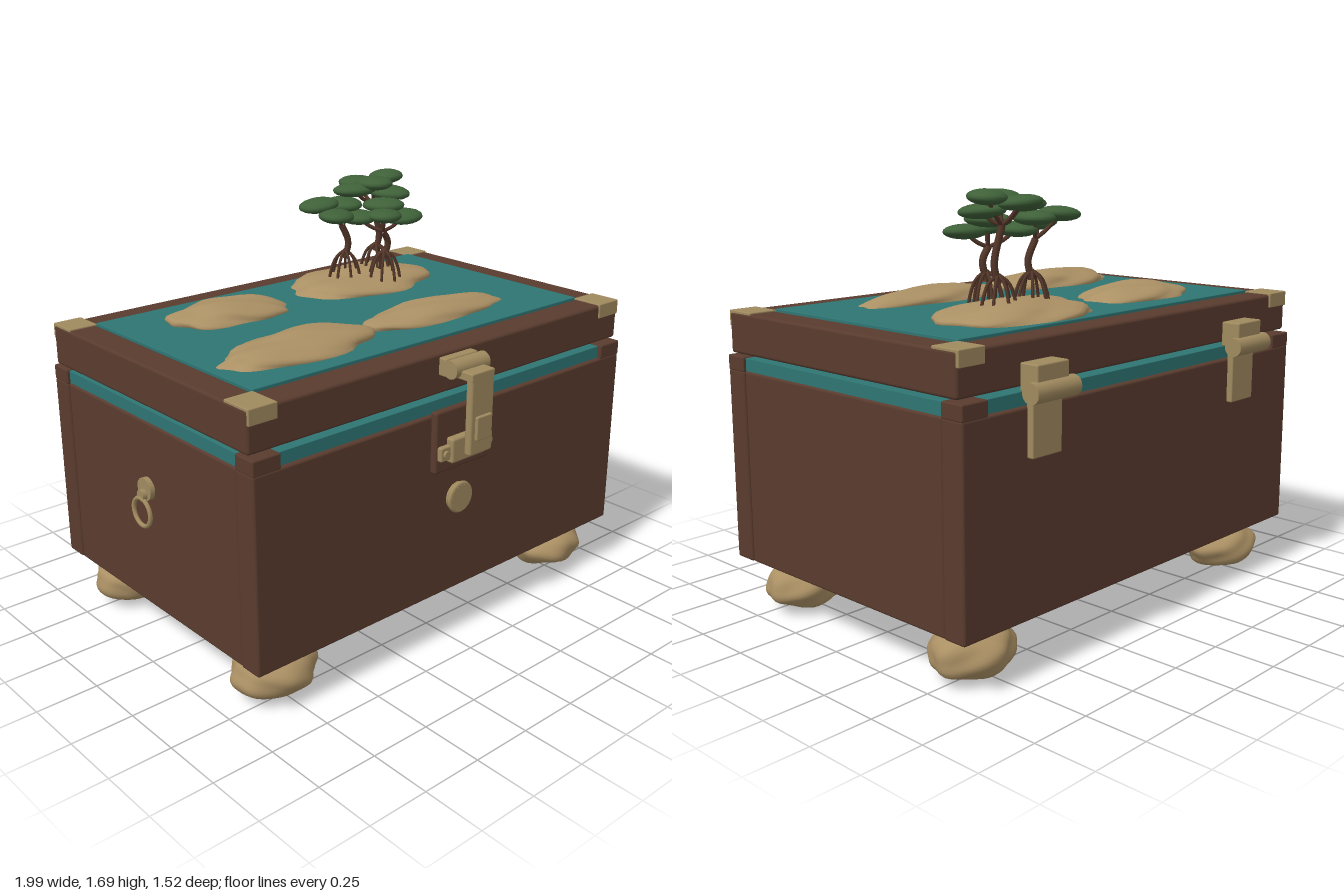
import * as THREE from 'three';
import { mergeVertices } from 'three/addons/utils/BufferGeometryUtils.js';
import { RoundedBoxGeometry } from 'three/addons/geometries/RoundedBoxGeometry.js';

const paint = (name, color) => {
  const m = new THREE.MeshStandardMaterial({ color });
  m.name = name;
  return m;
};

export function createModel() {
  const wood = paint('brown wood', 0x593b2e);
  const brass = paint('aged brass', 0xa08a5f);
  const teal = paint('teal water', 0x2e7573);
  const sand = paint('sandy rock', 0xab9064);
  const leaf = paint('mangrove green', 0x3f6139);
  const bark = paint('bark brown', 0x533629);

  const model = new THREE.Group();
  model.name = 'islandChest';
  const group = (name) => {
    const g = new THREE.Group();
    g.name = name;
    model.add(g);
    return g;
  };
  const add = (parent, name, geo, mat, x = 0, y = 0, z = 0) => {
    const m = new THREE.Mesh(geo, mat);
    m.name = name;
    m.position.set(x, y, z);
    parent.add(m);
    return m;
  };
  // Box given by its limits on each axis, with softly rounded edges
  const box = (parent, name, mat, [x0, x1], [y0, y1], [z0, z1], r = 0.006) => {
    const w = x1 - x0, h = y1 - y0, d = z1 - z0;
    const geo = new RoundedBoxGeometry(w, h, d, 2, Math.min(r, w / 3, h / 3, d / 3));
    return add(parent, name, geo, mat, (x0 + x1) / 2, (y0 + y1) / 2, (z0 + z1) / 2);
  };
  // Cylinder along x
  const barrel = (parent, name, r, len, x, y, z) => {
    const geo = new THREE.CylinderGeometry(r, r, len, 20).rotateZ(Math.PI / 2);
    return add(parent, name, geo, brass, x, y, z);
  };
  // Lumpy ellipsoid
  const rock = (parent, name, [x, y, z], [rx, ry, rz], seed, rough = 0.06) => {
    let geo = new THREE.IcosahedronGeometry(1, 7);
    geo.deleteAttribute('normal');
    geo.deleteAttribute('uv');
    geo = mergeVertices(geo, 1e-4);
    const p = geo.attributes.position, v = new THREE.Vector3();
    for (let i = 0; i < p.count; i++) {
      v.fromBufferAttribute(p, i);
      const n = Math.sin(v.x * 4.1 + seed) * Math.cos(v.z * 4.7 + seed * 2.3)
        + 0.7 * Math.sin(v.y * 6.3 + v.x * 5.2 + seed * 1.7)
        + 0.5 * Math.sin(v.z * 9.1 - v.x * 7.3 + seed * 3.1);
      v.multiplyScalar(1 + rough * (n - 0.4));
      p.setXYZ(i, v.x * rx, v.y * ry, v.z * rz);
    }
    geo.computeVertexNormals();
    return add(parent, name, geo, sand, x, y, z);
  };

  const L = -0.96, R = 0.99, MID = 0.015;

  // Chest body: front and back boards with inset core between
  const body = group('body');
  box(body, 'core', wood, [-0.88, 0.91], [0.19, 0.985], [-0.575, 0.53]);
  box(body, 'frontBoard', wood, [L, R], [0.22, 0.99], [0.53, 0.63], 0.01);
  box(body, 'backBoard', wood, [L, R], [0.22, 0.99], [-0.675, -0.575], 0.01);
  for (const [x0, x1] of [[L + 0.004, -0.86], [0.89, R - 0.004]])
    box(body, 'sideBoard', wood, [x0, x1], [0.22, 0.99], [-0.575, 0.53], 0.01);
  box(body, 'rimLining', teal, [L + 0.012, R - 0.012], [0.95, 1.04], [-0.655, 0.612], 0.002);
  for (const [x0, x1] of [[L, -0.84], [0.87, R]])
    for (const [z0, z1] of [[0.53, 0.63], [-0.675, -0.575]])
      box(body, 'rimCorner', wood, [x0, x1], [0.985, 1.045], [z0, z1]);

  // Lid: frame rails, water panel and corner caps
  const lid = group('lid');
  box(lid, 'frontRail', wood, [L, R], [1.055, 1.215], [0.475, 0.605], 0.012);
  box(lid, 'backRail', wood, [L, R], [1.055, 1.215], [-0.65, -0.53], 0.012);
  for (const [x0, x1] of [[L, -0.835], [0.865, R]])
    box(lid, 'sideRail', wood, [x0, x1], [1.055, 1.215], [-0.645, 0.6], 0.012);
  box(lid, 'underside', wood, [-0.84, 0.87], [1.06, 1.19], [-0.54, 0.48]);
  box(lid, 'waterPanel', teal, [-0.838, 0.868], [1.185, 1.225], [-0.533, 0.478], 0.003);
  for (const [x0, x1] of [[L + 0.003, -0.835], [0.865, R - 0.003]])
    for (const [z0, z1] of [[0.475, 0.611], [-0.658, -0.53]])
      box(lid, 'cornerCap', brass, [x0, x1], [1.16, 1.221], [z0, z1], 0.004);

  // Front latch
  const latch = group('latch');
  box(latch, 'backPlate', wood, [-0.135, 0.162], [0.76, 1.01], [0.625, 0.658], 0.015);
  box(latch, 'lidPlate', brass, [-0.075, 0.095], [1.13, 1.2], [0.595, 0.64]);
  barrel(latch, 'pivot', 0.036, 0.18, MID, 1.165, 0.66);
  box(latch, 'pivotArm', brass, [-0.05, 0.072], [1.13, 1.165], [0.66, 0.75]);
  box(latch, 'strap', brass, [-0.05, 0.072], [0.84, 1.165], [0.718, 0.75], 0.01);
  box(latch, 'strapButton', brass, [-0.027, 0.055], [0.9, 0.995], [0.745, 0.762]);
  box(latch, 'catch', brass, [-0.078, 0.108], [0.8, 0.9], [0.65, 0.69], 0.01);
  for (const s of [-1, 1]) {
    box(latch, 'catchEar', brass, [MID + s * 0.1 - 0.04, MID + s * 0.1 + 0.04], [0.815, 0.872], [0.65, 0.678]);
    const rivet = new THREE.CylinderGeometry(0.015, 0.015, 0.012, 12).rotateX(Math.PI / 2);
    add(latch, 'rivet', rivet, brass, MID + s * 0.115, 0.843, 0.682);
  }
  // Round lock boss
  add(latch, 'lockDisc', new THREE.CylinderGeometry(0.053, 0.058, 0.03, 28).rotateX(Math.PI / 2), brass, MID, 0.625, 0.643);
  add(latch, 'lockRing', new THREE.TorusGeometry(0.055, 0.01, 8, 28), brass, MID, 0.625, 0.648);

  // Back hinges
  for (const x of [-0.58, 0.61]) {
    const hinge = group('hinge');
    box(hinge, 'upperLeaf', brass, [x - 0.075, x + 0.085], [1.04, 1.14], [-0.73, -0.648]);
    box(hinge, 'lowerLeaf', brass, [x - 0.075, x + 0.075], [0.81, 1.04], [-0.7, -0.67]);
    barrel(hinge, 'pin', 0.038, 0.22, x, 1.045, -0.72);
  }

  // Ring pull on one end
  const pull = group('ringPull');
  barrel(pull, 'mount', 0.045, 0.02, -0.966, 0.725, -0.025);
  barrel(pull, 'knob', 0.022, 0.03, -0.98, 0.705, -0.025);
  add(pull, 'ring', new THREE.TorusGeometry(0.056, 0.009, 8, 28).rotateY(Math.PI / 2), brass, -0.99, 0.637, -0.025);

  // Boulder feet
  const feet = group('feet');
  [[-0.76, 0.455], [0.785, 0.455], [-0.76, -0.5], [0.785, -0.5]].forEach(([x, z], i) =>
    rock(feet, 'foot', [x, 0.105, z], [0.175, 0.1, 0.15], i * 2.1 + 1, 0.045));

  // Low islands on the water
  const islands = group('islands');
  rock(islands, 'backIsland', [-0.375, 1.22, -0.285], [0.275, 0.065, 0.165], 2.2);
  rock(islands, 'treeIsland', [0.355, 1.22, -0.305], [0.355, 0.068, 0.225], 4.4);
  rock(islands, 'frontIslandLeft', [-0.45, 1.22, 0.245], [0.35, 0.068, 0.155], 0.7);
  rock(islands, 'frontIslandRight', [0.255, 1.22, 0.245], [0.375, 0.06, 0.125], 5.6);

  // Mangroves: stilt roots, trunk, branches and flat leaf pads
  const V = (x, y, z) => new THREE.Vector3(x, y, z);
  const limb = (parent, name, pts, r) => {
    const curve = new THREE.CatmullRomCurve3(pts);
    add(parent, name, new THREE.TubeGeometry(curve, 8, r, 6), bark);
  };
  const trees = [
    { base: [0.26, -0.3], fork: [0.24, 1.5, -0.3],
      pads: [[0.14, 1.59, -0.33], [0.16, 1.555, -0.24], [0.27, 1.58, -0.32]] },
    { base: [0.39, -0.19], fork: [0.37, 1.47, -0.18],
      pads: [[0.45, 1.53, -0.14], [0.35, 1.545, -0.15], [0.28, 1.535, -0.24], [0.4, 1.575, -0.21]] },
    { base: [0.45, -0.31], fork: [0.43, 1.56, -0.31],
      pads: [[0.41, 1.645, -0.385], [0.525, 1.667, -0.33], [0.4, 1.66, -0.27], [0.48, 1.612, -0.26], [0.32, 1.635, -0.31]] },
  ];
  trees.forEach(({ base: [bx, bz], fork, pads }, t) => {
    const tree = group('mangrove');
    const top = V(...fork);
    limb(tree, 'trunk', [V(bx, 1.35, bz), V(bx + 0.012, 1.42, bz + 0.008), top], 0.014);
    for (let i = 0; i < 7; i++) {
      const a = (i / 7) * Math.PI * 2 + t * 0.6, c = Math.cos(a), s = Math.sin(a);
      limb(tree, 'stiltRoot', [V(bx, 1.385, bz), V(bx + c * 0.04, 1.355, bz + s * 0.035),
        V(bx + c * 0.065, 1.3, bz + s * 0.055), V(bx + c * 0.075, 1.25, bz + s * 0.062)], 0.0065);
    }
    pads.forEach(([x, y, z], i) => {
      const mid = top.clone().lerp(V(x, y, z), 0.5).add(V(0, -0.01, 0));
      limb(tree, 'branch', [top, mid, V(x, y, z)], 0.008);
      const pad = add(tree, 'leafPad', new THREE.SphereGeometry(1, 16, 10), leaf, x, y, z);
      pad.scale.set(0.092, 0.029, 0.075);
      pad.rotation.set(0.08 * Math.sin(i * 2 + t), i * 0.7, 0.08 * Math.cos(i * 3 + t));
    });
  });

  return model;
}
